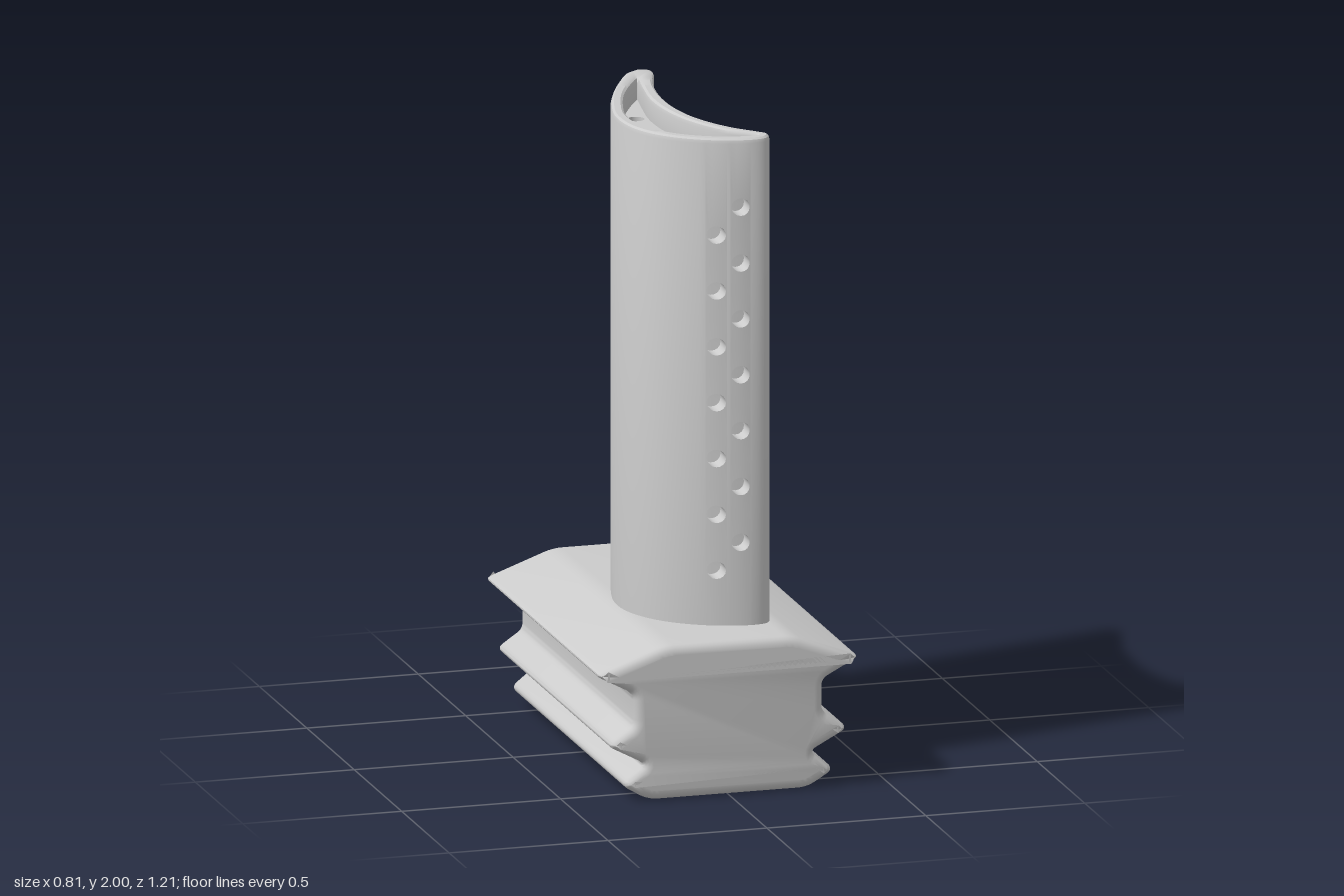
import * as THREE from 'three';
import { toCreasedNormals } from 'three/addons/utils/BufferGeometryUtils.js';

const grey = (side = THREE.FrontSide) => new THREE.MeshStandardMaterial({ color: 0xcccccc, side });
const V = (x, y, z) => new THREE.Vector3(x, y, z);

const ROOT_TOP = 0.48, FLOOR = 1.93, ROOF = 0.4, SKIN_TOP = 1.985;
const CHANNEL_R = 0.026;
const CHANNELS = [[-0.078, -0.12], [-0.095, 0.045], [-0.063, 0.21], [0.038, 0.335]];

// Airfoil sections as [x, z]: trailing edge, convex side, leading edge, concave side
const OUTER = [[0.026, -0.445], [-0.02, -0.41], [-0.077, -0.31], [-0.132, -0.19], [-0.174, -0.063], [-0.2, 0.066],
  [-0.19, 0.195], [-0.148, 0.29], [-0.077, 0.365], [0.02, 0.42], [0.122, 0.442], [0.17, 0.43], [0.187, 0.394],
  [0.164, 0.365], [0.1, 0.29], [0.035, 0.166], [0.006, 0.037], [0, -0.095], [0.016, -0.24], [0.042, -0.336],
  [0.061, -0.397], [0.055, -0.432], [0.026, -0.445]];
const INNER = [[-0.012, -0.33], [-0.014, -0.327], [-0.045, -0.275], [-0.095, -0.175], [-0.135, -0.055], [-0.16, 0.065],
  [-0.152, 0.18], [-0.115, 0.262], [-0.055, 0.33], [0.03, 0.38], [0.115, 0.4], [0.143, 0.402], [0.15, 0.395],
  [0.14, 0.38], [0.07, 0.31], [0, 0.18], [-0.035, 0.04], [-0.042, -0.095], [-0.026, -0.23], [-0.012, -0.318],
  [-0.011, -0.324], [-0.01, -0.328], [-0.012, -0.33]];
const section = (pts) => new THREE.CatmullRomCurve3(pts.map(([x, z]) => V(x, 0, z)));
const outer = section(OUTER), inner = section(INNER);
const SPANS = OUTER.length - 1;

// Point on the airfoil: s = 0 on the outer skin, 1 on the inner skin
const foil = (u, y, s = 0) => outer.getPoint(u).lerp(inner.getPoint(u), s).setY(y);

// Collects quads and triangles into one geometry
function soup() {
  const pts = [];
  return {
    tri: (a, b, c) => pts.push(a, b, c),
    quad: (a, b, c, d) => pts.push(a, b, c, a, c, d),
    build: (crease = 0.6) => toCreasedNormals(new THREE.BufferGeometry().setFromPoints(pts), crease),
  };
}

// Curve parameter where a coordinate reaches a value, between two section points
function find(axis, value, from, to) {
  let a = from / SPANS, b = to / SPANS;
  const rising = outer.getPoint(b)[axis] > outer.getPoint(a)[axis];
  for (let i = 0; i < 40; i++) {
    const m = (a + b) / 2;
    if ((outer.getPoint(m)[axis] < value) === rising) a = m; else b = m;
  }
  return (a + b) / 2;
}

// Columns of cooling holes, two at the leading edge and two on the concave side
function holeColumn(axis, centre, r, from, to, top, ry, drill) {
  const p = find(axis, centre - r, from, to), q = find(axis, centre + r, from, to);
  const hr = Math.abs(q - p) / 2;
  return { uc: (p + q) / 2, hr, hw: hr * 1.08, ry, drill,
    ys: Array.from({ length: 7 }, (_, i) => top - 0.1745 * (6 - i)) };
}
const COLUMNS = [
  holeColumn('x', 0.015, 0.0275, 5, 10, 1.7, 0.0275, V(0, 0, -0.06)),
  holeColumn('x', 0.085, 0.0275, 5, 10, 1.787, 0.0275, V(0, 0, -0.06)),
  holeColumn('z', -0.187, 0.042, 13, 20, 1.7, 0.025, V(-0.035, 0, 0.06)),
  holeColumn('z', -0.303, 0.05, 13, 20, 1.787, 0.025, V(-0.035, 0, 0.06)),
];

function airfoilGeometry() {
  const { tri, quad, build } = soup();
  const inColumn = (u, pad) => COLUMNS.some((c) => Math.abs(u - c.uc) < c.hw + pad);
  const k = Math.tan(Math.PI / 8);
  const us = Array.from({ length: 133 }, (_, i) => i / 132).filter((u) => !inColumn(u, 0.001));
  COLUMNS.forEach((c) => [-1, -k, 0, k, 1].forEach((t) => us.push(c.uc + t * c.hw)));
  us.sort((a, b) => a - b);

  // Plain skin, rounded rim and the wall of the tip recess
  const rows = [[0, ROOT_TOP - 0.02], [0, SKIN_TOP], [0.08, 1.995], [0.25, 2], [0.75, 2], [0.92, 1.995], [1, SKIN_TOP], [1, FLOOR]];
  for (let i = 0; i < us.length - 1; i++) {
    const a = us[i], b = us[i + 1];
    for (let j = 0; j < rows.length - 1; j++) {
      if (j === 0 && inColumn((a + b) / 2, 0)) continue;
      const [s0, y0] = rows[j], [s1, y1] = rows[j + 1];
      quad(foil(a, y0, s0), foil(b, y0, s0), foil(b, y1, s1), foil(a, y1, s1));
    }
  }

  // Skin cells around the holes, with slanted bores
  for (const { uc, hr, hw, ry, drill, ys } of COLUMNS) {
    ys.forEach((yc, i) => {
      const lo = i === 0 ? ROOT_TOP - 0.02 : (ys[i - 1] + yc) / 2;
      const hi = i === ys.length - 1 ? SKIN_TOP : (ys[i + 1] + yc) / 2;
      const at = (n) => {
        const c = Math.cos(n * Math.PI / 8), s = Math.sin(n * Math.PI / 8);
        const m = Math.max(Math.abs(c), Math.abs(s));
        const ring = foil(uc + hr * c, yc + ry * s);
        return { ring, edge: foil(uc + hw * c / m, yc + (s > 0 ? hi - yc : yc - lo) * s / m), deep: ring.clone().add(drill) };
      };
      const end = foil(uc, yc).add(drill);
      for (let n = 0; n < 16; n++) {
        const p = at(n), q = at(n + 1);
        quad(p.ring, p.edge, q.edge, q.ring);
        quad(p.ring, q.ring, q.deep, p.deep);
        tri(end, p.deep, q.deep);
      }
    });
  }
  return build();
}

// Horizontal plate from an [x, z] outline, facing up or down
function plate(outline, holes, y, up) {
  const f = up ? -1 : 1;
  const shape = new THREE.Shape(outline.map(([x, z]) => new THREE.Vector2(x, f * z)));
  shape.holes = holes.map((h) => new THREE.Path(h.map(([x, z]) => new THREE.Vector2(x, f * z))));
  return new THREE.ShapeGeometry(shape).rotateX(f * Math.PI / 2).translate(0, y, 0);
}
const rect = (x, z) => [[-x, -z], [x, -z], [x, z], [-x, z]];
const circle = ([x, z]) => Array.from({ length: 24 }, (_, i) => {
  const a = i * Math.PI / 12;
  return [x + CHANNEL_R * Math.cos(a), z + CHANNEL_R * Math.sin(a)];
});

// Fir-tree outline: half profile as [x, y, corner size], mirrored and rounded
function rootShape() {
  const half = [[0.25, 0, 0.03], [0.337, 0.052, 0.03], [0.26, 0.113, 0.02], [0.382, 0.178, 0.03],
    [0.297, 0.235, 0.02], [0.297, 0.335, 0.02], [0.42, 0.4, 0.03], [0.2, ROOT_TOP, 0.03]];
  const all = [...half, ...half.slice().reverse().map(([x, y, r]) => [-x, y, r])];
  const pts = all.flatMap(([x, y, r], i) => {
    const p = new THREE.Vector2(x, y);
    const toward = (j) => new THREE.Vector2(...all[(j + all.length) % all.length].slice(0, 2)).sub(p).setLength(r).add(p);
    return new THREE.QuadraticBezierCurve(toward(i - 1), p, toward(i + 1)).getPoints(5);
  });
  return new THREE.Shape(pts);
}

function rootGeometry(b, halfLength) {
  const depth = 2 * (halfLength - b);
  const g = new THREE.ExtrudeGeometry(rootShape(), { depth, bevelSize: b, bevelThickness: b, bevelOffset: -b, bevelSegments: 4 });
  g.translate(0, 0, -depth / 2);
  // Leave the underside open for the pocket
  const p = g.attributes.position, { tri, build } = soup();
  for (let i = 0; i < p.count; i += 3) {
    const t = [0, 1, 2].map((j) => new THREE.Vector3().fromBufferAttribute(p, i + j));
    if (!t.every((v) => v.y < 1e-4)) tri(...t);
  }
  return build(0.7);
}

export function createModel() {
  const model = new THREE.Group();
  const add = (name, geometry, side, parent = model) => {
    const mesh = new THREE.Mesh(geometry, grey(side));
    mesh.name = name;
    parent.add(mesh);
    return mesh;
  };

  // Blade
  add('airfoil', airfoilGeometry());
  const innerLine = Array.from({ length: 132 }, (_, i) => inner.getPoint(i / 132)).map((p) => [p.x, p.z]);
  add('tipFloor', plate(innerLine, CHANNELS.map(circle), FLOOR, true));

  // Cooling channels from the tip floor down to the root pocket
  const channels = new THREE.Group();
  channels.name = 'coolingChannels';
  model.add(channels);
  for (const [x, z] of CHANNELS) {
    const tube = new THREE.CylinderGeometry(CHANNEL_R, CHANNEL_R, FLOOR - ROOF, 24, 1, true);
    add('coolingChannel', tube, THREE.BackSide, channels).position.set(x, (FLOOR + ROOF) / 2, z);
  }

  // Root with a pocket in its underside
  const bevel = 0.03, halfLength = 0.606, opening = rect(0.13, 0.41);
  add('root', rootGeometry(bevel, halfLength));
  add('rootUnderside', plate(rect(0.22, halfLength - bevel), [opening], 0, false));
  add('pocketRoof', plate(opening, CHANNELS.map(circle), ROOF, false));
  const walls = soup();
  opening.forEach(([x, z], i) => {
    const [x2, z2] = opening[(i + 1) % 4];
    walls.quad(V(x, 0, z), V(x2, 0, z2), V(x2, ROOF, z2), V(x, ROOF, z));
  });
  add('pocketWalls', walls.build(), THREE.DoubleSide);
  return model;
}
